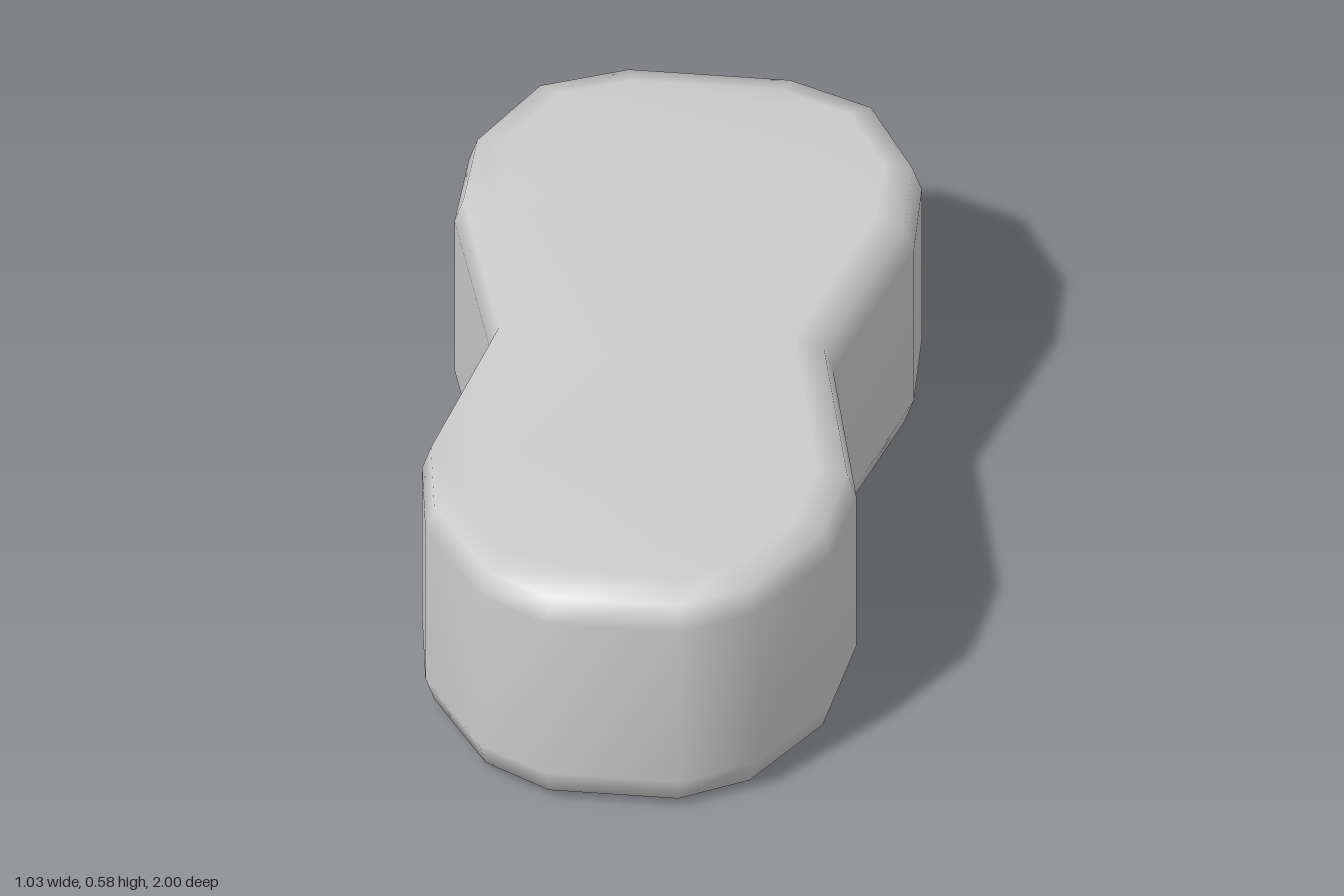
import * as THREE from 'three';

// Half outline in plan (x, z), from the front end to the back end
const HALF = [
  [0.15, 1], [0.31, 0.91], [0.455, 0.68], [0.487, 0.455], [0.385, 0],
  [0.515, -0.46], [0.508, -0.69], [0.385, -0.915], [0.185, -1],
];

// Rounded edge profile: [height, inset from the outline]
const PROFILE = [
  [0, 0.085], [0.022, 0.02], [0.083, 0], [0.5, 0], [0.56, 0.02], [0.58, 0.085],
];

// Moves every side of a closed outline inward by the same distance
function insetOutline(points, distance) {
  const n = points.length;
  const inward = (p, q) => new THREE.Vector2(q.y - p.y, p.x - q.x).normalize();
  return points.map((p, i) => {
    const a = inward(points[(i + n - 1) % n], p);
    const b = inward(p, points[(i + 1) % n]);
    const mitre = a.clone().add(b).multiplyScalar(distance / (1 + a.dot(b)));
    return mitre.add(p);
  });
}

function bodyGeometry() {
  const right = HALF.map(([x, z]) => new THREE.Vector2(x, z));
  const left = HALF.map(([x, z]) => new THREE.Vector2(-x, z)).reverse();
  const outline = [...right, ...left];
  const n = outline.length;
  const positions = [];
  const index = [];
  const quad = (a, b, c, d) => index.push(a, b, c, a, c, d);

  // Stacked rings
  for (const [y, inset] of PROFILE) {
    for (const p of insetOutline(outline, inset)) positions.push(p.x, y, p.y);
  }

  // Walls and rounded edges
  for (let k = 0; k < PROFILE.length - 1; k++) {
    for (let i = 0; i < n; i++) {
      const j = (i + 1) % n;
      quad(k * n + i, k * n + j, (k + 1) * n + j, (k + 1) * n + i);
    }
  }

  // Top and bottom, bridged from side to side
  const top = (PROFILE.length - 1) * n;
  for (let i = 0; i < HALF.length - 1; i++) {
    quad(top + i, top + i + 1, top + n - 2 - i, top + n - 1 - i);
    quad(n - 1 - i, n - 2 - i, i + 1, i);
  }

  const geometry = new THREE.BufferGeometry();
  geometry.setAttribute('position', new THREE.Float32BufferAttribute(positions, 3));
  geometry.setIndex(index);
  geometry.computeVertexNormals();
  return geometry;
}

export function createModel() {
  const group = new THREE.Group();
  group.name = 'waistedBlock';
  const material = new THREE.MeshStandardMaterial({ color: 0xcccccc });
  const body = new THREE.Mesh(bodyGeometry(), material);
  body.name = 'body';
  group.add(body);
  return group;
}
